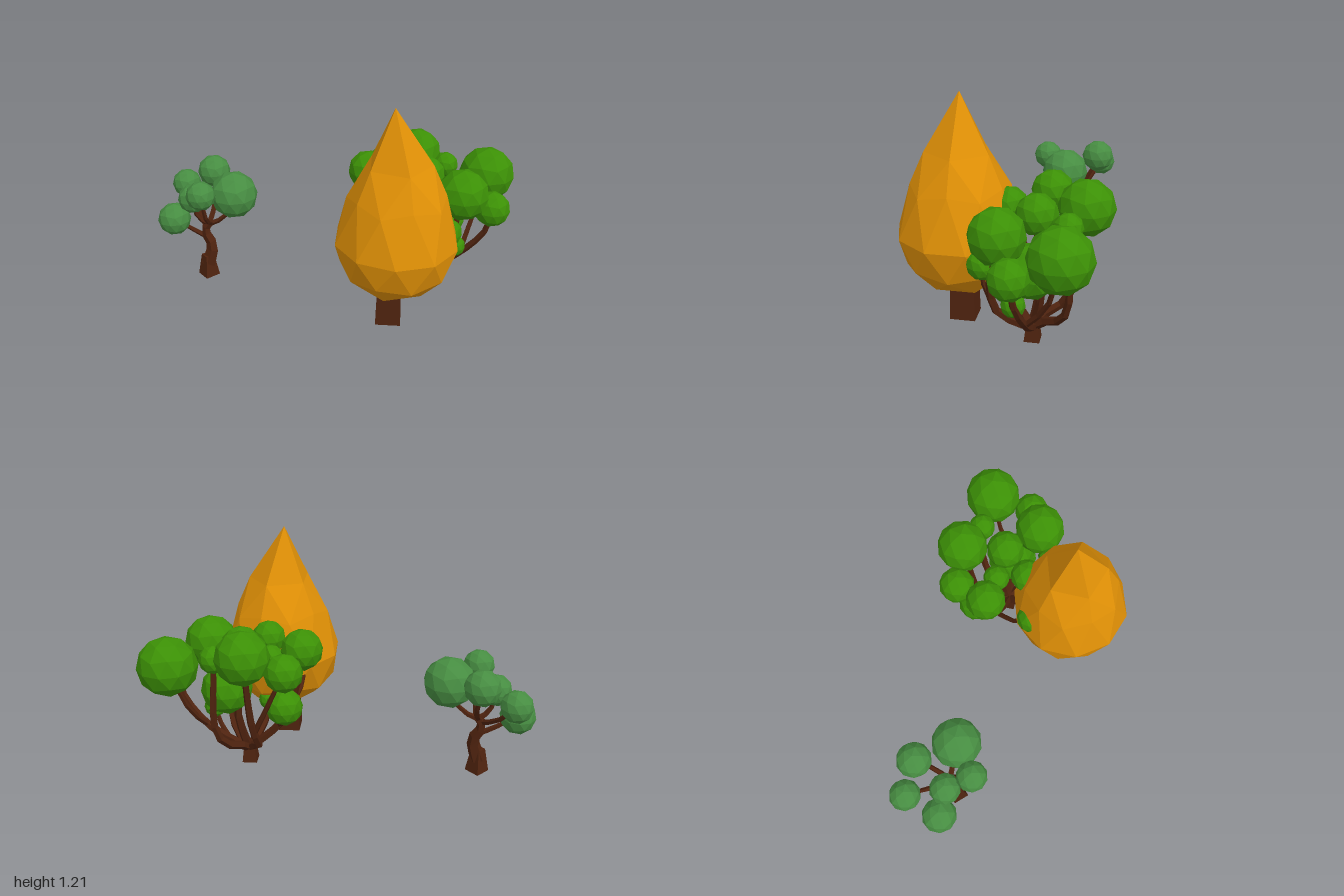
import * as THREE from 'three';

const mat = (color) => new THREE.MeshStandardMaterial({ color, flatShading: true });
const V = (p) => new THREE.Vector3(...p);

// 80-sided ball with a vertex at each pole
function facetedBall(r) {
  const g = new THREE.IcosahedronGeometry(1, 1);
  g.rotateZ(-Math.atan(2 / (1 + Math.sqrt(5))));
  return g.scale(r, r, r);
}

function add(parent, name, geometry, material) {
  const m = new THREE.Mesh(geometry, material);
  m.name = name;
  parent.add(m);
  return m;
}

// Tapered limb that follows a few points, thinning from r0 to r1
function limb(parent, name, points, r0, r1, material) {
  const curve = new THREE.CatmullRomCurve3(points.map(V), false, 'centripetal');
  const rings = (points.length - 1) * 2, sides = 5;
  const g = new THREE.TubeGeometry(curve, rings, 1, sides, false);
  const pos = g.attributes.position, v = new THREE.Vector3();
  for (let i = 0; i < pos.count; i++) {
    const t = Math.floor(i / (sides + 1)) / rings;
    const c = curve.getPointAt(t);
    v.fromBufferAttribute(pos, i).sub(c).multiplyScalar(r0 + (r1 - r0) * t).add(c);
    pos.setXYZ(i, v.x, v.y, v.z);
  }
  add(parent, name, g, material);
}

// Four-sided tapered post from y0 to y1, turned about its axis
function post(parent, name, x, z, y0, y1, w0, w1, turn, material) {
  const g = new THREE.CylinderGeometry(w1 / Math.SQRT2, w0 / Math.SQRT2, y1 - y0, 4);
  g.rotateY(turn).translate(x, (y0 + y1) / 2, z);
  add(parent, name, g, material);
}

function leaves(parent, list, material) {
  for (const [x, y, z, r] of list) add(parent, 'leafBall', facetedBall(r), material).position.set(x, y, z);
}

export function createModel() {
  const model = new THREE.Group();
  model.name = 'treeGroup';
  const bark = mat(0x4f230f), orange = mat(0xe09006), green = mat(0x3c9006), teal = mat(0x478d42);

  // Tall orange tree: ball whose upper half is drawn out to a point
  const tall = new THREE.Group();
  tall.name = 'orangeTree';
  const crown = facetedBall(1);
  const p = crown.attributes.position;
  for (let i = 0; i < p.count; i++) {
    const x = p.getX(i), y = p.getY(i), z = p.getZ(i);
    if (y > 0.99) p.setXYZ(i, -0.09, 2.18, -0.01);
    else if (y > 0.8) p.setY(i, 1.29);
    else if (y > 0.5) p.setXYZ(i, x * 0.94, 0.71, z * 0.94);
    else if (y > 0.4) p.setXYZ(i, x * 0.84, 0.8, z * 0.84);
    else if (y < -0.1) p.setY(i, y * 1.02);
  }
  crown.scale(0.319, 0.319, 0.319);
  crown.computeVertexNormals();
  add(tall, 'crown', crown, orange).position.set(0.36, 0.516, 0.225);
  post(tall, 'trunk', 0.335, 0.22, 0.02, 0.35, 0.133, 0.115, Math.PI / 4, bark);
  model.add(tall);

  // Spreading green tree
  const bush = new THREE.Group();
  bush.name = 'greenTree';
  leaves(bush, [
    [0.70, 0.65, -0.03, 0.138], [0.852, 0.635, -0.337, 0.153], [0.46, 0.72, -0.406, 0.138],
    [0.87, 0.53, -0.115, 0.098], [0.685, 0.30, -0.10, 0.06], [0.63, 0.47, 0.057, 0.076],
    [0.60, 0.44, -0.17, 0.135], [0.28, 0.41, -0.30, 0.096], [0.265, 0.64, -0.39, 0.098],
    [0.195, 0.69, -0.21, 0.108], [0.36, 0.63, -0.195, 0.072], [0.51, 0.69, -0.18, 0.103],
    [0.62, 0.68, -0.34, 0.072], [0.39, 0.68, -0.03, 0.09], [0.20, 0.57, 0.04, 0.08],
    [0.41, 0.29, 0.02, 0.06],
  ], green);
  post(bush, 'trunkBase', 0.495, -0.162, 0.012, 0.11, 0.078, 0.055, Math.PI / 4, bark);
  const fork = [0.5, 0.085, -0.16];
  const mainLimbs = [
    [[0.60, 0.14, -0.17], [0.73, 0.23, -0.16], [0.85, 0.39, -0.13], [0.87, 0.53, -0.115]],
    [[0.58, 0.15, -0.09], [0.62, 0.22, -0.01], [0.64, 0.33, 0.02], [0.70, 0.62, -0.03]],
    [[0.53, 0.14, -0.23], [0.58, 0.18, -0.30], [0.63, 0.28, -0.35], [0.62, 0.66, -0.34]],
    [[0.45, 0.14, -0.22], [0.42, 0.19, -0.30], [0.44, 0.30, -0.35], [0.46, 0.70, -0.40]],
    [[0.42, 0.15, -0.17], [0.33, 0.24, -0.18], [0.26, 0.36, -0.21], [0.195, 0.67, -0.21]],
    [[0.52, 0.18, -0.19], [0.54, 0.32, -0.21], [0.52, 0.50, -0.19], [0.51, 0.67, -0.18]],
    [[0.45, 0.15, -0.09], [0.42, 0.22, -0.02], [0.41, 0.36, 0.0], [0.39, 0.68, -0.04]],
  ];
  for (const path of mainLimbs) limb(bush, 'limb', [fork, ...path], 0.025, 0.014, bark);
  const twigs = [
    [[0.72, 0.22, -0.16], [0.78, 0.36, -0.27], [0.85, 0.60, -0.335]],
    [[0.60, 0.14, -0.17], [0.66, 0.21, -0.12], [0.685, 0.30, -0.10]],
    [[0.63, 0.28, 0.01], [0.635, 0.38, 0.05], [0.63, 0.47, 0.057]],
    [[0.33, 0.24, -0.18], [0.30, 0.31, -0.25], [0.28, 0.41, -0.30]],
    [[0.43, 0.28, -0.34], [0.36, 0.43, -0.37], [0.265, 0.64, -0.39]],
    [[0.26, 0.36, -0.21], [0.33, 0.47, -0.20], [0.36, 0.63, -0.195]],
    [[0.30, 0.29, -0.19], [0.22, 0.42, -0.06], [0.20, 0.57, 0.03]],
    [[0.53, 0.24, -0.2], [0.57, 0.33, -0.18], [0.60, 0.44, -0.17]],
  ];
  for (const path of twigs) limb(bush, 'twig', path, 0.016, 0.01, bark);
  model.add(bush);

  // Small bluish-green tree with a crooked trunk
  const small = new THREE.Group();
  small.name = 'smallTree';
  leaves(small, [
    [-0.91, 0.345, -0.19, 0.094], [-0.87, 0.49, -0.37, 0.083], [-0.79, 0.485, -0.18, 0.083],
    [-0.70, 0.58, -0.36, 0.093], [-0.71, 0.567, -0.055, 0.082], [-0.552, 0.522, -0.18, 0.133],
  ], teal);
  post(small, 'trunkBase', -0.725, -0.165, 0, 0.13, 0.088, 0.052, 0, bark);
  limb(small, 'trunk', [[-0.725, 0.07, -0.165], [-0.695, 0.19, -0.175], [-0.735, 0.28, -0.19], [-0.70, 0.34, -0.19]], 0.042, 0.022, bark);
  const branches = [
    [[-0.71, 0.23, -0.185], [-0.79, 0.27, -0.19], [-0.91, 0.345, -0.19]],
    [[-0.73, 0.30, -0.19], [-0.80, 0.37, -0.29], [-0.87, 0.49, -0.37]],
    [[-0.71, 0.32, -0.19], [-0.77, 0.37, -0.18], [-0.79, 0.48, -0.18]],
    [[-0.71, 0.32, -0.19], [-0.69, 0.41, -0.28], [-0.70, 0.56, -0.36]],
    [[-0.70, 0.33, -0.19], [-0.70, 0.39, -0.10], [-0.71, 0.54, -0.055]],
    [[-0.71, 0.32, -0.19], [-0.62, 0.37, -0.19], [-0.55, 0.50, -0.18]],
  ];
  for (const path of branches) limb(small, 'branch', path, 0.016, 0.01, bark);
  model.add(small);

  return model;
}
